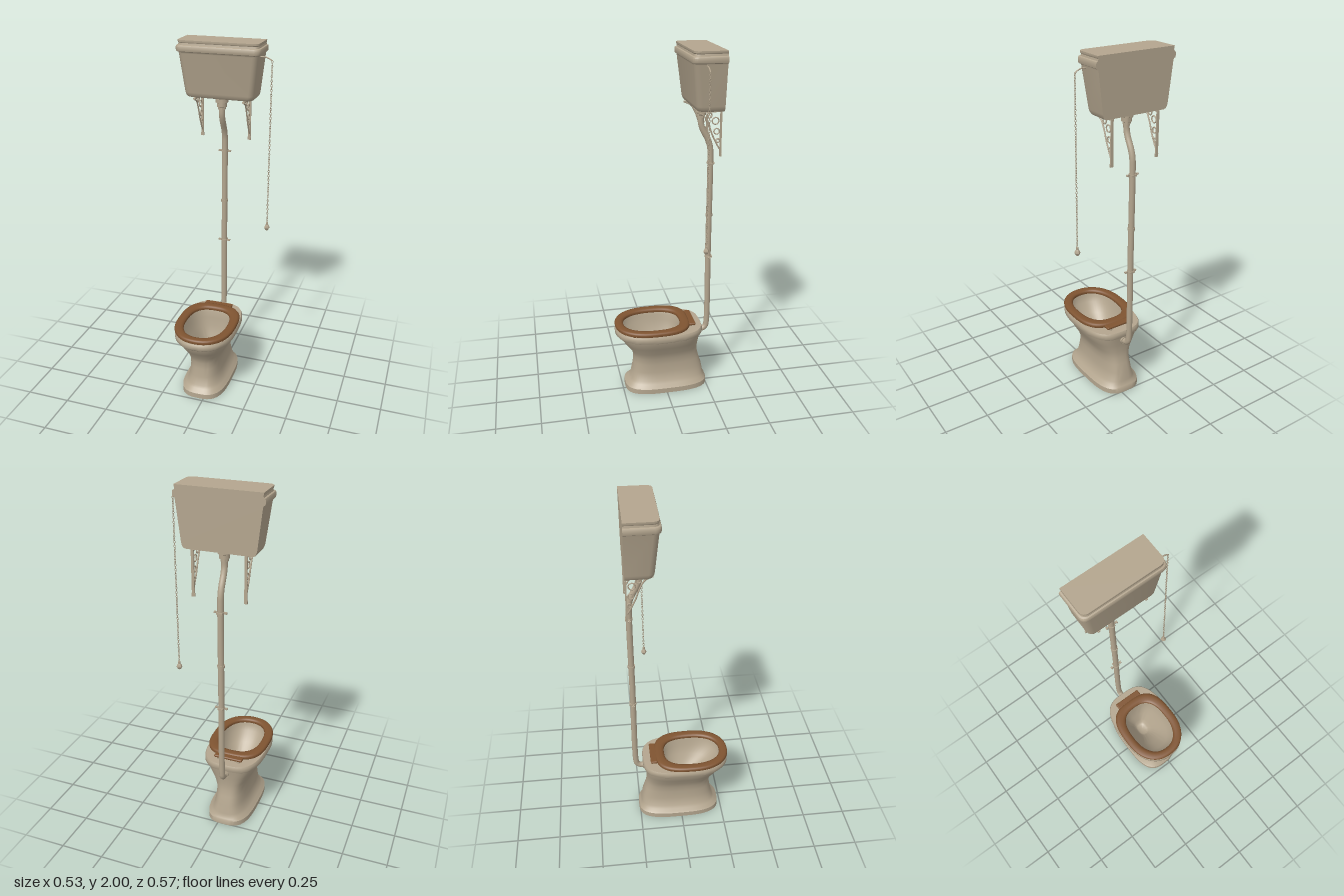
import * as THREE from 'three';
import { toCreasedNormals } from 'three/addons/utils/BufferGeometryUtils.js';
import { RoundedBoxGeometry } from 'three/addons/geometries/RoundedBoxGeometry.js';

const CX = -0.034; // axis of bowl, pipe and cistern

const ceramic = new THREE.MeshStandardMaterial({ color: 0xb3a58e, side: THREE.DoubleSide });
ceramic.name = 'ceramic';
const wood = new THREE.MeshStandardMaterial({ color: 0x7f5431 });
wood.name = 'wood';

// Skin through rings of equal point count, optionally capped
function loft(rings, { bottom = false, top = false, crease = 0.6 } = {}) {
  const n = rings[0].length, pos = rings.flat(2), idx = [];
  for (let i = 0; i < rings.length - 1; i++) {
    for (let j = 0; j < n; j++) {
      const a = i * n + j, b = i * n + (j + 1) % n, c = a + n, d = b + n;
      idx.push(a, c, b, b, c, d);
    }
  }
  const cap = (r, up) => {
    const o = r * n, m = pos.length / 3;
    for (let k = 0; k < 3; k++) pos.push(rings[r].reduce((s, p) => s + p[k], 0) / n);
    for (let j = 0; j < n; j++) {
      const a = o + j, b = o + (j + 1) % n;
      idx.push(m, up ? b : a, up ? a : b);
    }
  };
  if (bottom) cap(0, false);
  if (top) cap(rings.length - 1, true);
  const g = new THREE.BufferGeometry();
  g.setAttribute('position', new THREE.Float32BufferAttribute(pos, 3));
  g.setIndex(idx);
  return toCreasedNormals(g, crease);
}

// Egg-like outline: half width, front z, back z, widest z, front and back squareness
function egg(y, hw, zf, zb, zc, nf, nb, count = 48) {
  const ring = [];
  for (let i = 0; i < count; i++) {
    const t = (i / count) * Math.PI * 2, c = Math.cos(t), s = Math.sin(t);
    const e = 2 / (s > 0 ? nf : nb);
    ring.push([
      CX + hw * Math.sign(c) * Math.abs(c) ** e,
      y,
      zc + (s > 0 ? zf - zc : zc - zb) * Math.sign(s) * Math.abs(s) ** e,
    ]);
  }
  return ring;
}

// Cistern outline: flat back, rounded front corners
function cisternRing(y, hw, zf, r = 0.03) {
  const back = -0.285, ring = [[CX + hw, y, back]];
  for (const side of [1, -1]) {
    for (let i = 0; i <= 4; i++) {
      const a = ((side > 0 ? i : 4 - i) / 4) * Math.PI / 2;
      ring.push([CX + side * (hw - r + r * Math.cos(a)), y, zf - r + r * Math.sin(a)]);
    }
  }
  ring.push([CX - hw, y, back]);
  return ring;
}

export function createModel() {
  const model = new THREE.Group();
  const add = (name, geo, mat = ceramic, x = 0, y = 0, z = 0, parent = model) => {
    const m = new THREE.Mesh(geo, mat);
    m.name = name;
    m.position.set(x, y, z);
    parent.add(m);
    return m;
  };
  const tube = (pts, r, seg = 24, sides = 8) =>
    new THREE.TubeGeometry(new THREE.CatmullRomCurve3(pts.map(p => new THREE.Vector3(...p))), seg, r, sides);

  // Pedestal and rim: [y, half width, front z, back z]
  const outer = [
    [0.03, 0.115, 0.21, -0.235], [0, 0.12, 0.22, -0.242],
    [0, 0.135, 0.235, -0.257], [0.03, 0.135, 0.234, -0.256], [0.037, 0.127, 0.226, -0.25],
    [0.052, 0.117, 0.212, -0.243], [0.065, 0.104, 0.2, -0.239], [0.12, 0.093, 0.19, -0.23],
    [0.17, 0.089, 0.181, -0.214], [0.21, 0.092, 0.18, -0.204], [0.25, 0.106, 0.194, -0.201],
    [0.3, 0.134, 0.232, -0.206], [0.34, 0.153, 0.257, -0.212], [0.358, 0.157, 0.263, -0.215],
    [0.36, 0.171, 0.28, -0.222], [0.368, 0.175, 0.287, -0.225], [0.39, 0.175, 0.287, -0.225],
    [0.4, 0.17, 0.28, -0.22],
  ].map(([y, hw, zf, zb]) => {
    const k = Math.min(1, y / 0.35);
    return egg(y, hw, zf, zb, 0.06 * k, 3 - 0.75 * k, 3.2);
  });
  // Basin: [y, half width, front z, back z, widest z]
  const basin = [
    [0.4, 0.138, 0.25, -0.115, 0.07], [0.385, 0.133, 0.246, -0.11, 0.07], [0.35, 0.127, 0.235, -0.105, 0.06],
    [0.3, 0.105, 0.185, -0.098, 0.04], [0.25, 0.08, 0.125, -0.085, 0.02], [0.2, 0.052, 0.065, -0.066, 0],
    [0.17, 0.036, 0.036, -0.056, -0.01], [0.16, 0.025, 0.024, -0.045, -0.01],
  ].map(([y, hw, zf, zb, zc]) => egg(y, hw, zf, zb, zc, 2.3, 2.8));
  add('bowl', loft([...outer, ...basin], { top: true, crease: 0.75 }));

  // Wooden seat ring: [blend from outer edge to hole, y]
  const seatRing = [
    [1, 0.412], [0.95, 0.407], [0.05, 0.407], [0, 0.412], [0, 0.42], [0.08, 0.427], [0.25, 0.43],
    [0.7, 0.43], [0.92, 0.426], [1, 0.419], [1, 0.412],
  ].map(([k, y]) => {
    const mix = (a, b) => a + (b - a) * k;
    return egg(y, mix(0.175, 0.123), mix(0.287, 0.238), mix(-0.15, -0.095), 0.07, 2.25, mix(3, 2.7));
  });
  add('seat', loft(seatRing, { crease: 0.9 }), wood);
  add('seatHingePlate', new RoundedBoxGeometry(0.17, 0.016, 0.04, 3, 0.007), wood, CX, 0.417, -0.16);
  for (const s of [-1, 1]) {
    add('hingePost', new THREE.CylinderGeometry(0.009, 0.011, 0.02, 12), ceramic, CX + s * 0.06, 0.405, -0.168);
    for (const z of [-0.03, 0.19])
      add('seatBumper', new THREE.CylinderGeometry(0.008, 0.008, 0.01, 10), wood, CX + s * 0.135, 0.404, z);
  }

  // Cistern with moulded lid: [y, half width, front z]
  const tank = [
    [1.69, 0.172, -0.163], [1.694, 0.184, -0.15], [1.705, 0.191, -0.142], [1.72, 0.195, -0.138],
    [1.93, 0.22, -0.115], [1.937, 0.222, -0.113], [1.942, 0.231, -0.107], [1.95, 0.233, -0.105],
    [1.965, 0.233, -0.105], [1.972, 0.23, -0.108], [1.975, 0.223, -0.114], [1.985, 0.221, -0.116],
    [1.99, 0.224, -0.113], [2.0, 0.224, -0.113],
  ].map(p => cisternRing(...p));
  add('cistern', loft(tank, { bottom: true, top: true }));

  // Flush pipe, collars and wall clips
  const pipe = [
    [0.335, -0.19], [0.335, -0.225], [0.34, -0.245], [0.355, -0.26], [0.385, -0.265], [0.9, -0.265],
    [1.42, -0.265], [1.46, -0.262], [1.5, -0.25], [1.56, -0.219], [1.595, -0.208], [1.65, -0.207],
  ].map(([y, z]) => [CX, y, z]);
  add('flushPipe', tube(pipe, 0.0165, 120, 16));
  const collar = [[0.0165, 1.625], [0.021, 1.625], [0.021, 1.637], [0.028, 1.64], [0.028, 1.662],
    [0.035, 1.665], [0.035, 1.69]].map(p => new THREE.Vector2(...p));
  add('pipeCollar', toCreasedNormals(new THREE.LatheGeometry(collar, 24), 0.6), ceramic, CX, 0, -0.207);
  add('inletCollar', new THREE.CylinderGeometry(0.022, 0.022, 0.02, 20), ceramic, CX, 0.335, -0.213).rotation.x = Math.PI / 2;
  add('pipeJoint', new THREE.CylinderGeometry(0.02, 0.02, 0.014, 20), ceramic, CX, 1.065, -0.265);
  for (const y of [0.81, 1.37]) {
    const clip = new THREE.Group();
    clip.name = 'pipeClip';
    clip.position.set(CX, y, -0.265);
    model.add(clip);
    add('clipBand', new THREE.CylinderGeometry(0.019, 0.019, 0.01, 20), ceramic, 0, 0, 0, clip);
    add('clipEars', new THREE.BoxGeometry(0.07, 0.01, 0.006), ceramic, 0, 0, 0, clip);
    add('clipWallPlate', new THREE.BoxGeometry(0.03, 0.01, 0.012), ceramic, 0, 0, -0.015, clip);
    for (const s of [-1, 1])
      add('clipScrew', new THREE.CylinderGeometry(0.005, 0.005, 0.014, 8), ceramic, s * 0.031, 0, 0, clip).rotation.x = Math.PI / 2;
  }

  // Scrolled wall brackets
  for (const s of [-1, 1]) {
    const b = new THREE.Group();
    b.name = 'bracket';
    b.position.x = CX + s * 0.139;
    model.add(b);
    add('bracketBack', new THREE.BoxGeometry(0.014, 0.24, 0.008), ceramic, 0, 1.567, -0.28, b);
    add('bracketFoot', new THREE.BoxGeometry(0.018, 0.018, 0.008), ceramic, 0, 1.453, -0.28, b);
    add('bracketArm', new THREE.BoxGeometry(0.014, 0.008, 0.14), ceramic, 0, 1.685, -0.214, b);
    const brace = [[1.682, -0.15], [1.665, -0.185], [1.62, -0.212], [1.56, -0.235], [1.51, -0.26], [1.48, -0.278]];
    add('bracketBrace', tube(brace.map(([y, z]) => [0, y, z]), 0.0045, 20, 6), ceramic, 0, 0, 0, b);
    for (const [y, z, r] of [[1.635, -0.25, 0.018], [1.665, -0.216, 0.014], [1.58, -0.257, 0.015], [1.53, -0.264, 0.01]])
      add('bracketScroll', new THREE.TorusGeometry(r, 0.0035, 6, 16), ceramic, 0, y, z, b).rotation.y = Math.PI / 2;
  }

  // Lever, chain and pull
  const px = 0.248, pz = -0.178;
  add('flushLever', tube([[0.17, 1.927, pz], [0.215, 1.926, pz], [0.235, 1.918, pz], [px, 1.908, pz]], 0.0035, 16, 8));
  const link = new THREE.TorusGeometry(0.0045, 0.0014, 4, 8).scale(1, 1.7, 1);
  const chain = new THREE.Group();
  chain.name = 'chain';
  model.add(chain);
  for (let i = 0, y = 1.905; y > 0.998; i++, y -= 0.0125)
    add('chainLink', link, ceramic, px, y, pz, chain).rotation.y = (i % 2) * Math.PI / 2;
  const pull = [[0, 0.948], [0.009, 0.952], [0.016, 0.966], [0.013, 0.976], [0.007, 0.985], [0.007, 0.998], [0, 1.0]];
  add('chainPull', toCreasedNormals(new THREE.LatheGeometry(pull.map(p => new THREE.Vector2(...p)), 6), 0.5), ceramic, px, 0, pz);

  return model;
}
